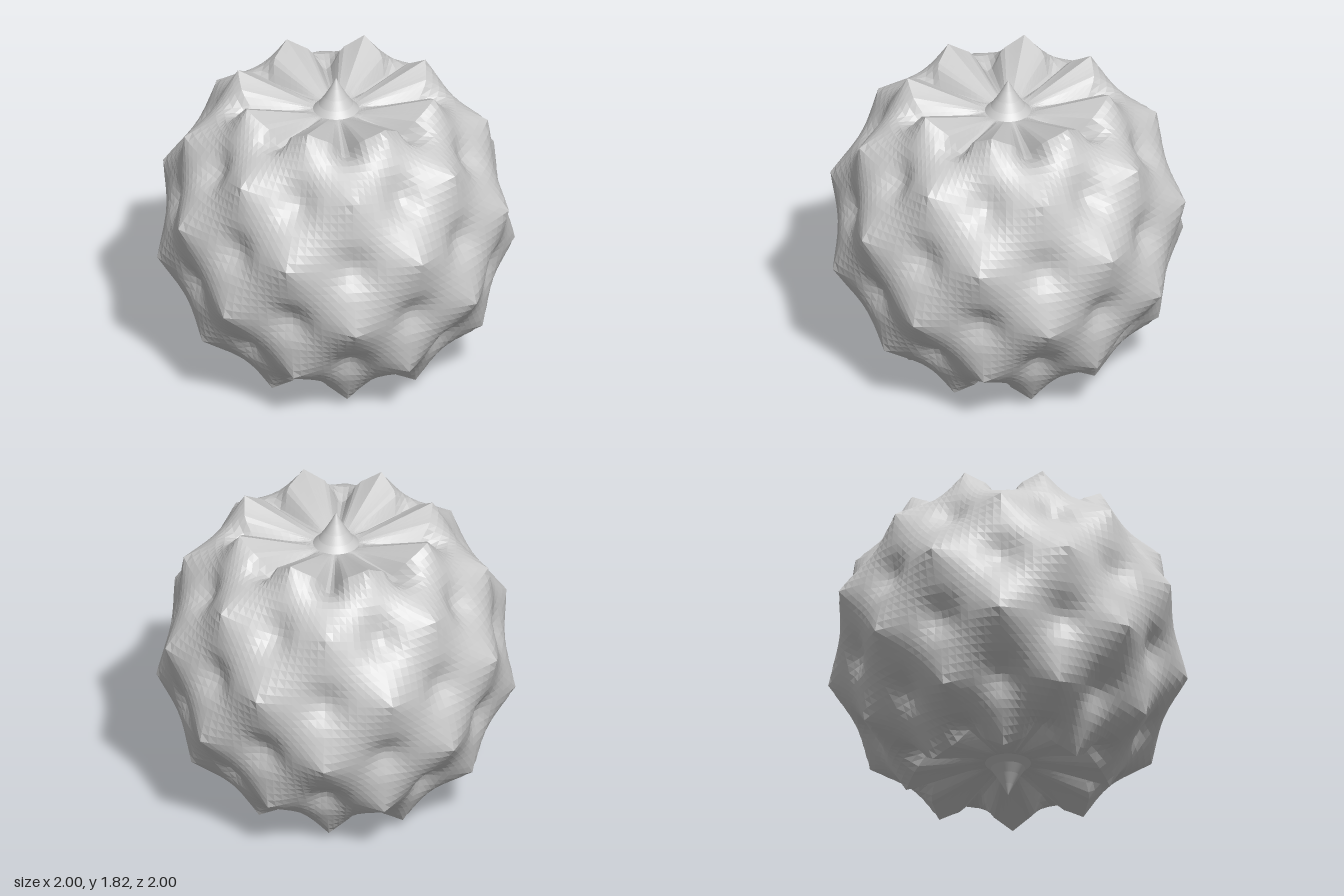
import * as THREE from 'three';

const MID = 0.91;                     // height of the ball's centre
const CAP = 33.75 * Math.PI / 180;    // polar angle of the last ring of spikes
const BASE_R = 0.13, BASE_Y = 0.71;   // foot of the cone at each pole
const CONE = 1 / 3;                   // share of the cap rows used by the cone

// Radius of the ball: staggered sharp spikes with wide hollows between them
function radius(a, lat) {
  const p = -Math.sin(8 * a) * Math.sin(8 * lat);
  let r = 1.04 - 0.075 * Math.sqrt(Math.max(0, 1 - p));
  if (p < 0) {
    const w = THREE.MathUtils.smoothstep(Math.abs(lat), 0.72, Math.PI / 2 - CAP);
    r -= (0.045 + 0.075 * w) * p * p;
  }
  return r;
}

// Distance from the axis and height for an azimuth and a polar angle
function profile(a, polar) {
  const south = polar > Math.PI / 2;
  const c = south ? Math.PI - polar : polar;
  const sign = south ? -1 : 1;
  const ring = Math.max(c, CAP);
  const r = radius(a, sign * (Math.PI / 2 - ring));
  let R = r * Math.sin(ring), y = r * Math.cos(ring);
  if (c < CAP - 1e-6) {
    const t = c / CAP;
    if (t > CONE) {
      // Straight spokes from the last spikes to the cone
      const k = (t - CONE) / (1 - CONE);
      R = THREE.MathUtils.lerp(BASE_R, R, k);
      y = THREE.MathUtils.lerp(BASE_Y, y, k);
    } else {
      // Concave cone at the pole
      const k = t / CONE;
      R = BASE_R * k;
      y = BASE_Y + (MID - BASE_Y) * Math.pow(1 - k, 1.3);
    }
  }
  return [R, sign * y];
}

export function createModel() {
  const geo = new THREE.SphereGeometry(1, 128, 64);
  const pos = geo.attributes.position, uv = geo.attributes.uv;
  for (let i = 0; i < pos.count; i++) {
    const a = Math.atan2(pos.getX(i), pos.getZ(i));
    const polar = Math.acos(THREE.MathUtils.clamp(pos.getY(i), -1, 1));
    const [R, y] = profile(a, polar);
    pos.setXYZ(i, R * Math.sin(a), MID + y, R * Math.cos(a));
  }
  geo.computeVertexNormals();

  const ball = new THREE.Mesh(geo, new THREE.MeshStandardMaterial({ color: 0xcccccc, flatShading: true }));
  ball.name = 'spikedBall';
  const model = new THREE.Group();
  model.name = 'spikedSphere';
  model.add(ball);
  return model;
}
